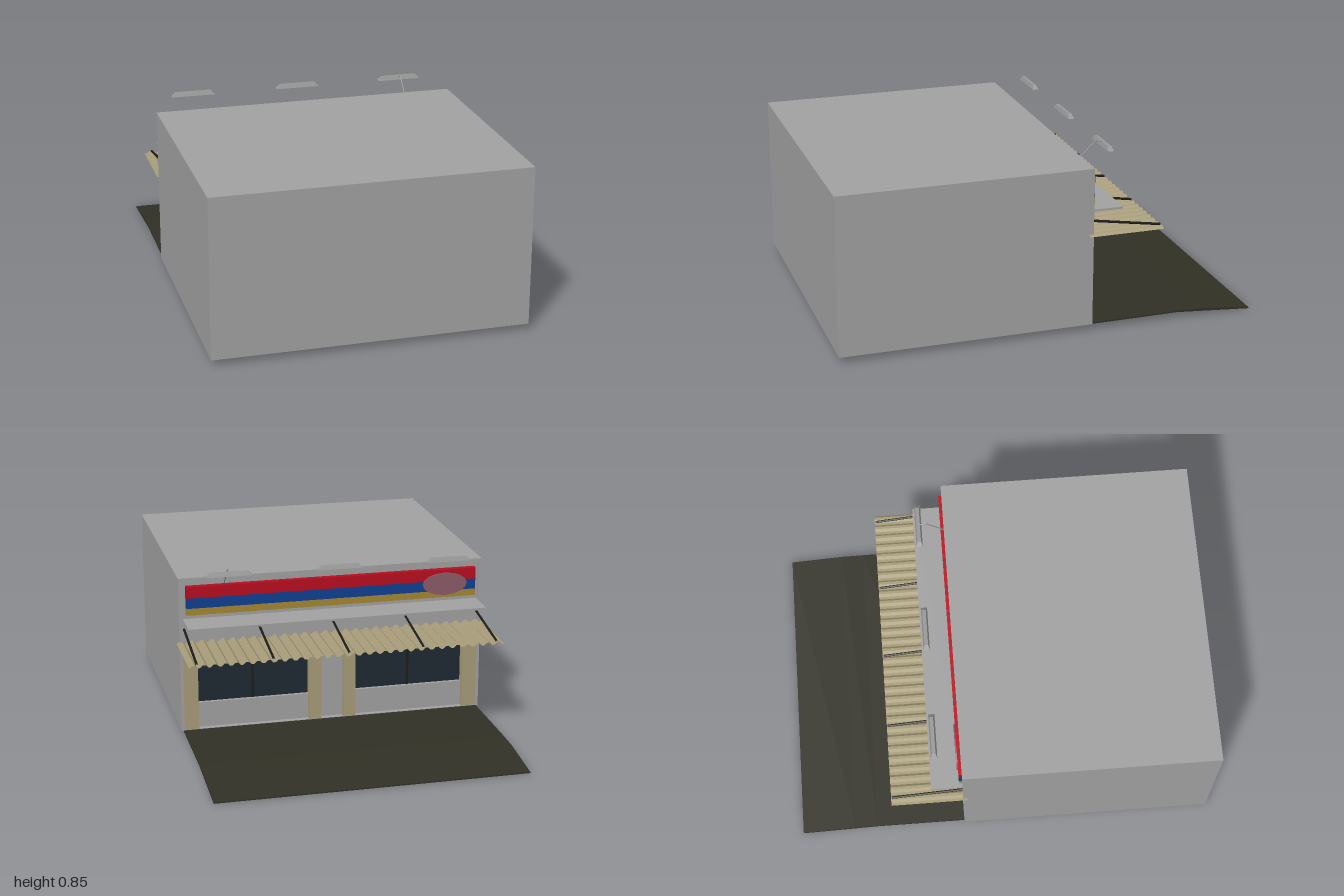
import * as THREE from 'three';

const mat = (name, color, extra = {}) => Object.assign(new THREE.MeshStandardMaterial({ color, ...extra }), { name });

export function createModel() {
  const root = new THREE.Group();
  root.name = 'shopBuilding';
  const grey = mat('wall grey', 0xa0a0a0);
  const beige = mat('tin beige', 0xa79c79, { side: THREE.DoubleSide, flatShading: true });
  const asphalt = mat('asphalt', 0x303025);
  const black = mat('iron black', 0x1c1c18);
  const glass = mat('dark glass', 0x1d2930);
  const red = mat('sign red', 0xb80d20);
  const blue = mat('sign blue', 0x0d3f90);
  const yellow = mat('sign yellow', 0xa38733);
  const pink = mat('badge rose', 0x8a5a68);
  const lampGrey = mat('lamp grey', 0x979797);

  const add = (name, geo, material, parent = root) => {
    const m = new THREE.Mesh(geo, material);
    m.name = name;
    parent.add(m);
    return m;
  };
  // box given by its minimum and maximum on each axis
  const block = (name, material, x0, x1, y0, y1, z0, z1) => {
    const m = add(name, new THREE.BoxGeometry(x1 - x0, y1 - y0, z1 - z0), material);
    m.position.set((x0 + x1) / 2, (y0 + y1) / 2, (z0 + z1) / 2);
    return m;
  };
  // straight rod between two points
  const rod = (name, a, b, r, material) =>
    add(name, new THREE.TubeGeometry(new THREE.LineCurve3(a, b), 1, r, 6), material);
  const v = (x, y, z) => new THREE.Vector3(x, y, z);

  // main body with a shallow frame around the shop front
  block('body', grey, -0.74, 0.74, 0.03, 0.79, -0.15, 1);
  const rect = (P, x, y0, y1) => {
    const p = new P();
    p.moveTo(-x, y0); p.lineTo(x, y0); p.lineTo(x, y1); p.lineTo(-x, y1); p.closePath();
    return p;
  };
  const frame = rect(THREE.Shape, 0.74, 0.03, 0.79);
  frame.holes.push(rect(THREE.Path, 0.725, 0.036, 0.775));
  add('frontFrame', new THREE.ExtrudeGeometry(frame, { depth: 0.05, bevelEnabled: false }), grey).position.z = -0.2;

  // shop front: upper wall, windows, low walls, pillars
  block('upperWall', grey, -0.725, 0.725, 0.43, 0.775, -0.185, -0.15);
  for (const s of [-1, 1]) {
    const span = (a, b) => (s > 0 ? [a, b] : [-b, -a]);
    block('window', glass, ...span(0.115, 0.655), 0.16, 0.43, -0.158, -0.15);
    block('lowWall', grey, ...span(0.115, 0.655), 0.03, 0.16, -0.175, -0.15);
    block('mullion', black, ...span(0.38, 0.39), 0.16, 0.43, -0.164, -0.15);
    block('outerPillar', beige, ...span(0.655, 0.725), 0.03, 0.46, -0.198, -0.15);
    block('doorPillar', beige, ...span(0.055, 0.115), 0.03, 0.46, -0.198, -0.15);
  }
  block('door', grey, -0.055, 0.055, 0.02, 0.43, -0.175, -0.14);

  // striped sign and its plain oval badge
  for (const [name, m, y0, y1] of [
    ['signRedBand', red, 0.695, 0.75], ['signBlueBand', blue, 0.645, 0.695], ['signYellowBand', yellow, 0.612, 0.645]])
    block(name, m, -0.705, 0.705, y0, y1, -0.215, -0.185);
  const badge = add('signBadge', new THREE.CylinderGeometry(1, 1, 0.008, 16), pink);
  badge.rotation.x = Math.PI / 2;
  badge.scale.set(0.11, 1, 0.055);
  badge.position.set(-0.55, 0.68, -0.218);

  // flat ledge below the sign
  block('ledge', grey, -0.72, 0.72, 0.577, 0.587, -0.347, -0.18);

  // corrugated awning: a sheet raised and lowered rib by rib
  const ribs = 30, pos = [], index = [];
  for (let i = 0; i <= ribs * 4; i++) {
    const x = -0.75 + (1.5 * i) / (ribs * 4);
    const y = i % 4 < 2 ? 0.466 : 0.478;
    pos.push(x, y, -0.18, x, y, -0.54);
    if (i) {
      const k = 2 * i;
      index.push(k - 2, k, k + 1, k - 2, k + 1, k - 1);
    }
  }
  const sheet = new THREE.BufferGeometry();
  sheet.setAttribute('position', new THREE.Float32BufferAttribute(pos, 3));
  sheet.setIndex(index);
  sheet.computeVertexNormals();
  add('awning', sheet, beige);
  for (let i = -2; i <= 2; i++)
    rod('awningStay', v(i * 0.357, 0.535, -0.185), v(i * 0.357, 0.478, -0.535), 0.006, black);

  // forecourt slab that slopes down at the far end
  const slab = new THREE.Shape([
    [0.18, 0.034], [0.63, 0.036], [0.74, 0.034], [1, 0.006], [1, 0], [0.63, 0.029], [0.18, 0.027],
  ].map(([x, y]) => new THREE.Vector2(x, y)));
  const slabGeo = new THREE.ExtrudeGeometry(slab, { depth: 1.46, bevelEnabled: false });
  slabGeo.rotateY(Math.PI / 2).translate(-0.73, 0, 0);
  add('forecourt', slabGeo, asphalt);

  // sign lamps: shades narrowing toward the top
  for (const x of [-0.535, -0.007, 0.52]) {
    const g = new THREE.BoxGeometry(0.214, 0.02, 0.03);
    const p = g.attributes.position;
    for (let i = 0; i < p.count; i++) {
      if (p.getY(i) > 0) { p.setX(i, p.getX(i) * 0.82); p.setZ(i, p.getZ(i) * 0.55); }
      else p.setY(i, p.getX(i) && -0.009);
    }
    g.computeVertexNormals();
    add('lampShade', g, lampGrey).position.set(x, 0.834, -0.32);
  }
  rod('lampArm', v(0.52, 0.755, -0.19), v(0.52, 0.848, -0.285), 0.003, lampGrey);
  rod('lampArmTip', v(0.52, 0.848, -0.285), v(0.52, 0.838, -0.325), 0.003, lampGrey);
  return root;
}
